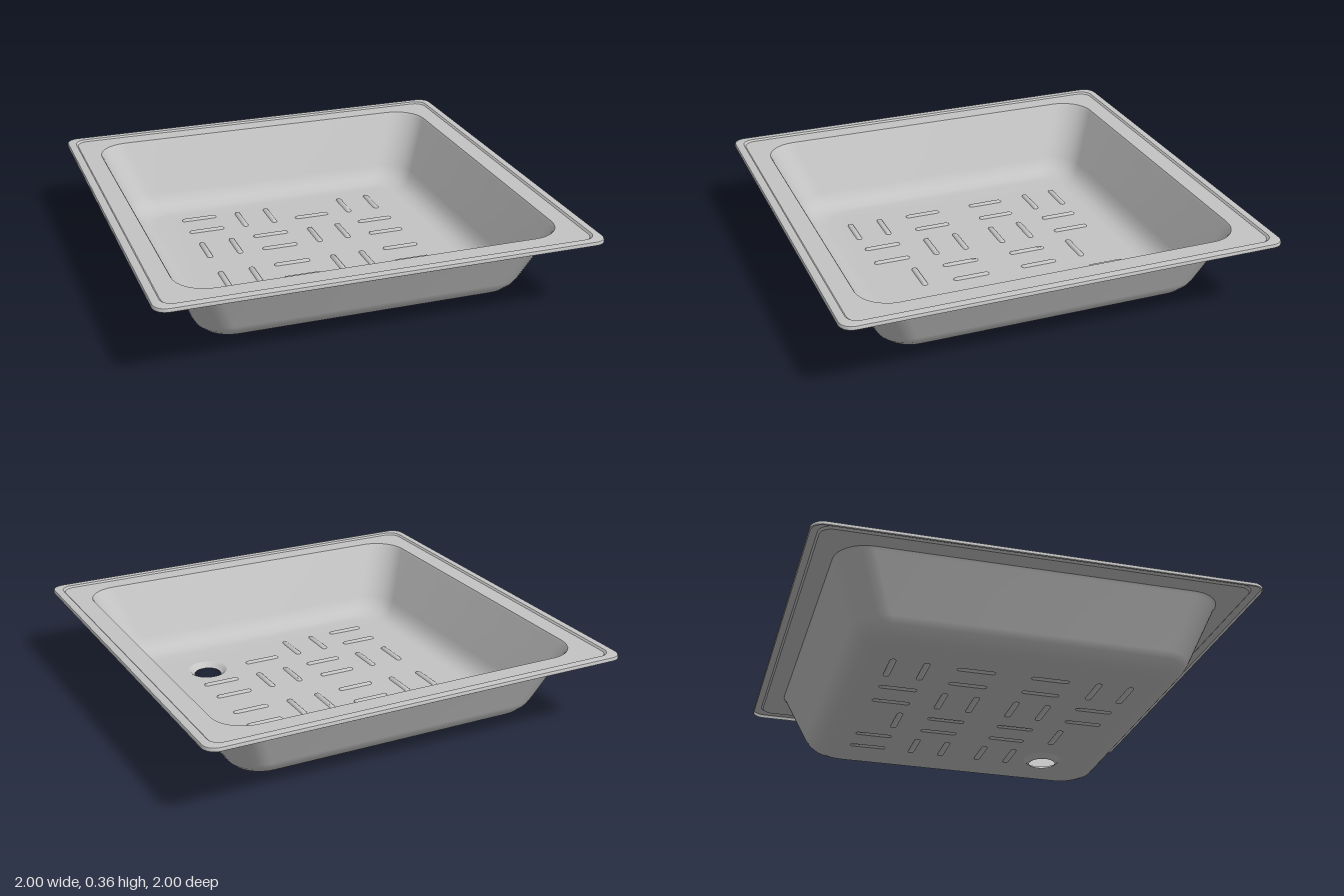
import * as THREE from 'three';
import { mergeGeometries, toCreasedNormals } from 'three/addons/utils/BufferGeometryUtils.js';

const FLOOR_Y = 0.022;

// Rounded rectangle outline, counter-clockwise seen from above
function ring(hx, hz, r, y, cx = 0, cz = 0, steps = 8) {
  const pts = [];
  for (let c = 0; c < 4; c++) {
    const sx = c === 0 || c === 3 ? 1 : -1;
    const sz = c < 2 ? -1 : 1;
    for (let i = 0; i <= steps; i++) {
      const a = (c + i / steps) * Math.PI / 2;
      pts.push(new THREE.Vector3(
        cx + sx * (hx - r) + r * Math.cos(a), y,
        cz + sz * (hz - r) - r * Math.sin(a)));
    }
  }
  return pts;
}

// Sheet joining successive outlines, from the outermost inwards
function loft(rings) {
  const pos = [], n = rings[0].length;
  for (let k = 0; k + 1 < rings.length; k++) {
    for (let i = 0; i < n; i++) {
      const j = (i + 1) % n;
      const a = rings[k][i], b = rings[k][j], c = rings[k + 1][j], d = rings[k + 1][i];
      for (const p of [a, b, c, a, c, d]) pos.push(p.x, p.y, p.z);
    }
  }
  const g = new THREE.BufferGeometry();
  g.setAttribute('position', new THREE.Float32BufferAttribute(pos, 3));
  return g;
}

// Flat horizontal face bounded by an outline, with optional holes
function fill(outline, holes = []) {
  const flat = pts => pts.map(p => new THREE.Vector2(p.x, -p.z));
  const shape = new THREE.Shape(flat(outline));
  shape.holes = holes.map(h => new THREE.Path(flat(h).reverse()));
  const g = new THREE.ShapeGeometry(shape).rotateX(-Math.PI / 2).translate(0, outline[0].y, 0).toNonIndexed();
  g.deleteAttribute('uv');
  g.deleteAttribute('normal');
  return g;
}

export function createModel() {
  const enamel = new THREE.MeshStandardMaterial({ color: 0xc4c4c4, side: THREE.DoubleSide });
  enamel.name = 'greyEnamel';
  const tray = new THREE.Group();
  tray.name = 'showerTray';
  const add = (name, geometry) => {
    const mesh = new THREE.Mesh(toCreasedNormals(geometry, 0.6), enamel);
    mesh.name = name;
    tray.add(mesh);
  };

  // Rim with turned-down edge, raised lip and flat flange: half width, corner radius, height
  const rim = [
    [0.995, 0.055, 0.342], [1, 0.06, 0.345], [1, 0.06, 0.355], [0.997, 0.057, 0.36],
    [0.99, 0.055, 0.362], [0.962, 0.055, 0.362], [0.954, 0.055, 0.354],
    [0.868, 0.15, 0.354],
  ];
  add('rim', loft(rim.map(([h, r, y]) => ring(h, h, r, y))));

  // Sloping walls running through a fillet into the floor
  const basin = [
    [0.868, 0.15, 0.354], [0.86, 0.15, 0.34], [0.762, 0.145, 0.1], [0.745, 0.14, 0.07],
    [0.722, 0.135, 0.045], [0.69, 0.125, 0.028], [0.65, 0.11, FLOOR_Y],
  ].map(([h, r, y]) => ring(h, h, r, y));

  // Anti-slip ribs pressed up from the floor, as [x, z]
  const across = [
    [-0.425, -0.55], [-0.425, -0.4], [0.125, -0.4], [-0.425, 0.39], [-0.425, 0.54], [0.125, 0.39],
  ];
  for (const x of [-0.14, 0.41]) for (const z of [-0.25, -0.1, 0.09, 0.24]) across.push([x, z]);
  const along = [
    [-0.225, -0.47], [-0.075, -0.47], [0.325, -0.47], [0.475, -0.47], [-0.225, 0.46], [-0.075, 0.46],
  ];
  for (const x of [-0.49, -0.34, 0.065, 0.21]) for (const z of [-0.175, 0.165]) along.push([x, z]);

  const holes = [], ribs = [];
  const addRib = (x, z, turned) => {
    const rings = [[0, 0], [0.003, 0.005], [0.008, 0.008]].map(([inset, up]) => {
      const len = 0.088 - inset, w = 0.014 - inset;
      return ring(turned ? w : len, turned ? len : w, w * 0.99, FLOOR_Y + up, x, z, 4);
    });
    holes.push(rings[0]);
    ribs.push(loft(rings), fill(rings[2]));
  };
  across.forEach(([x, z]) => addRib(x, z, false));
  along.forEach(([x, z]) => addRib(x, z, true));

  // Drain recess around an open hole
  const drain = [[0.094, FLOOR_Y], [0.086, 0.018], [0.076, 0.006], [0.07, 0.002], [0.064, 0]]
    .map(([r, y]) => ring(r, r, r * 0.99, y, 0.41, 0.41));
  holes.push(drain[0]);

  add('basin', mergeGeometries([loft(basin), fill(basin[basin.length - 1], holes)]));
  add('gripRibs', mergeGeometries(ribs));
  add('drainRecess', loft(drain));
  return tray;
}
